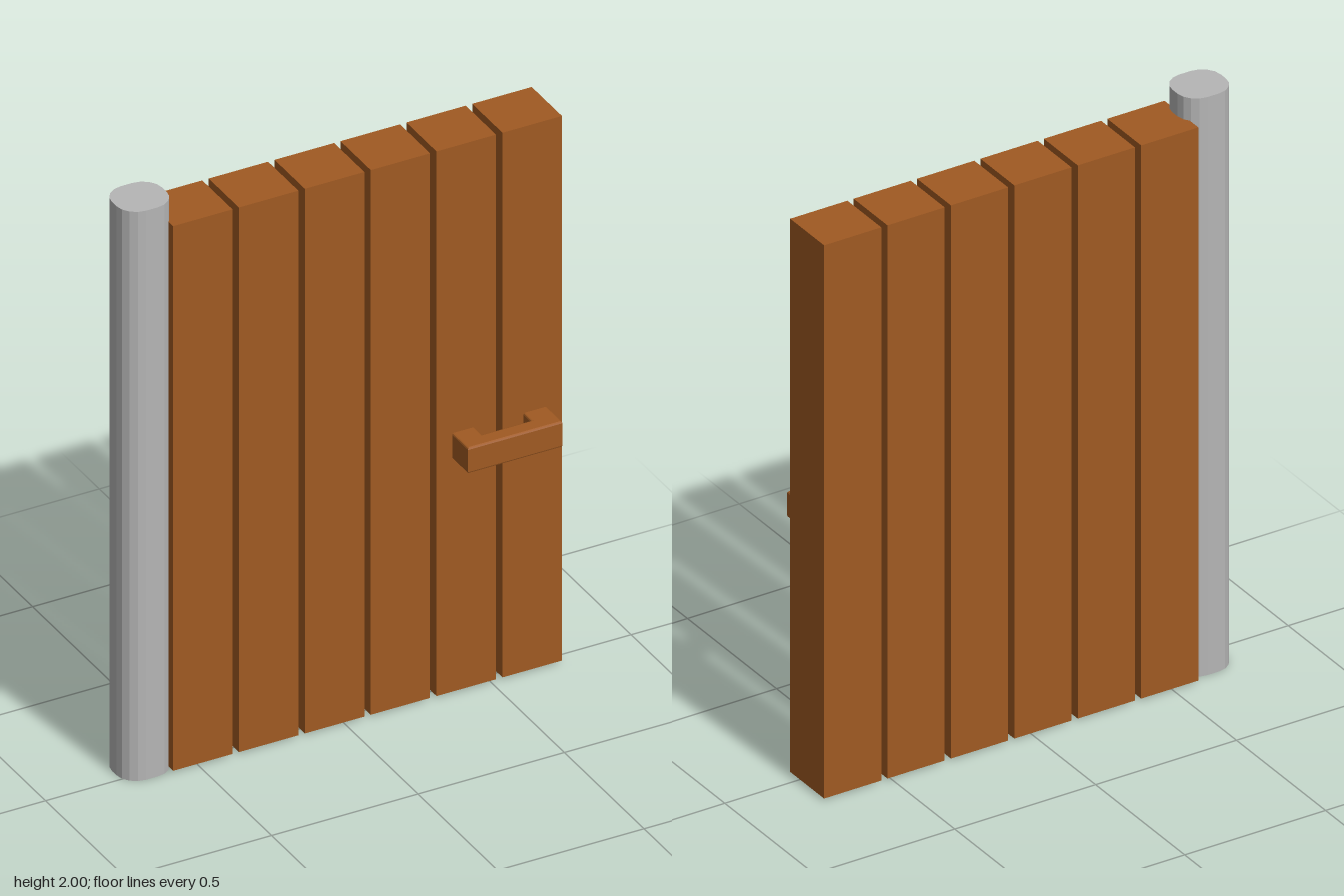
import * as THREE from 'three';

// Polygon outline of an oval with slightly flattened sides
function postOutline(halfX, halfZ, corner, steps) {
  const pts = [];
  for (let q = 0; q < 4; q++) {
    const sx = q === 0 || q === 3 ? 1 : -1;
    const sz = q < 2 ? 1 : -1;
    for (let i = 0; i <= steps; i++) {
      const a = (q + i / steps) * Math.PI / 2;
      pts.push(new THREE.Vector2(
        sx * (halfX - corner) + corner * Math.cos(a),
        sz * (halfZ - corner) + corner * Math.sin(a)));
    }
  }
  return new THREE.Shape(pts);
}

// Extrudes a plan shape, drawn as (x, -z), upwards from y = 0
function extrudeUp(shape, height, bevel = 0) {
  const geo = new THREE.ExtrudeGeometry(shape, {
    depth: height - 2 * bevel,
    bevelEnabled: bevel > 0,
    bevelThickness: bevel,
    bevelSize: bevel,
    bevelOffset: -bevel,
    bevelSegments: 2,
  });
  geo.translate(0, 0, bevel);
  return geo.rotateX(-Math.PI / 2);
}

export function createModel() {
  const model = new THREE.Group();
  model.name = 'door';

  const wood = new THREE.MeshStandardMaterial({ color: 0xa05a22 });
  wood.name = 'brown wood';
  const metal = new THREE.MeshStandardMaterial({ color: 0xb5b5b5 });
  metal.name = 'grey metal';

  const add = (name, geo, mat, x, y, z) => {
    const mesh = new THREE.Mesh(geo, mat);
    mesh.name = name;
    mesh.position.set(x, y, z);
    model.add(mesh);
  };

  // Hinge post
  add('hingePost', extrudeUp(postOutline(0.086, 0.08, 0.066, 4), 2), metal, -0.657, 0, -0.042);

  // Six upright planks with narrow gaps
  const plank = new THREE.BoxGeometry(0.203, 1.914, 0.19);
  for (let i = 0; i < 6; i++) {
    add('plank' + (i + 1), plank, wood, -0.4865 + i * 0.2251, 0.965, -0.052);
  }

  // U-shaped pull handle, its feet set into the planks
  const foot = -0.03, grip = -0.09, front = -0.142;
  const outline = [
    [0.366, foot], [0.366, front], [0.689, front], [0.689, foot],
    [0.609, foot], [0.609, grip], [0.441, grip], [0.441, foot],
  ].map(([x, y]) => new THREE.Vector2(x, y));
  add('handle', extrudeUp(new THREE.Shape(outline), 0.09, 0.006), wood, 0, 0.826, 0);

  return model;
}
